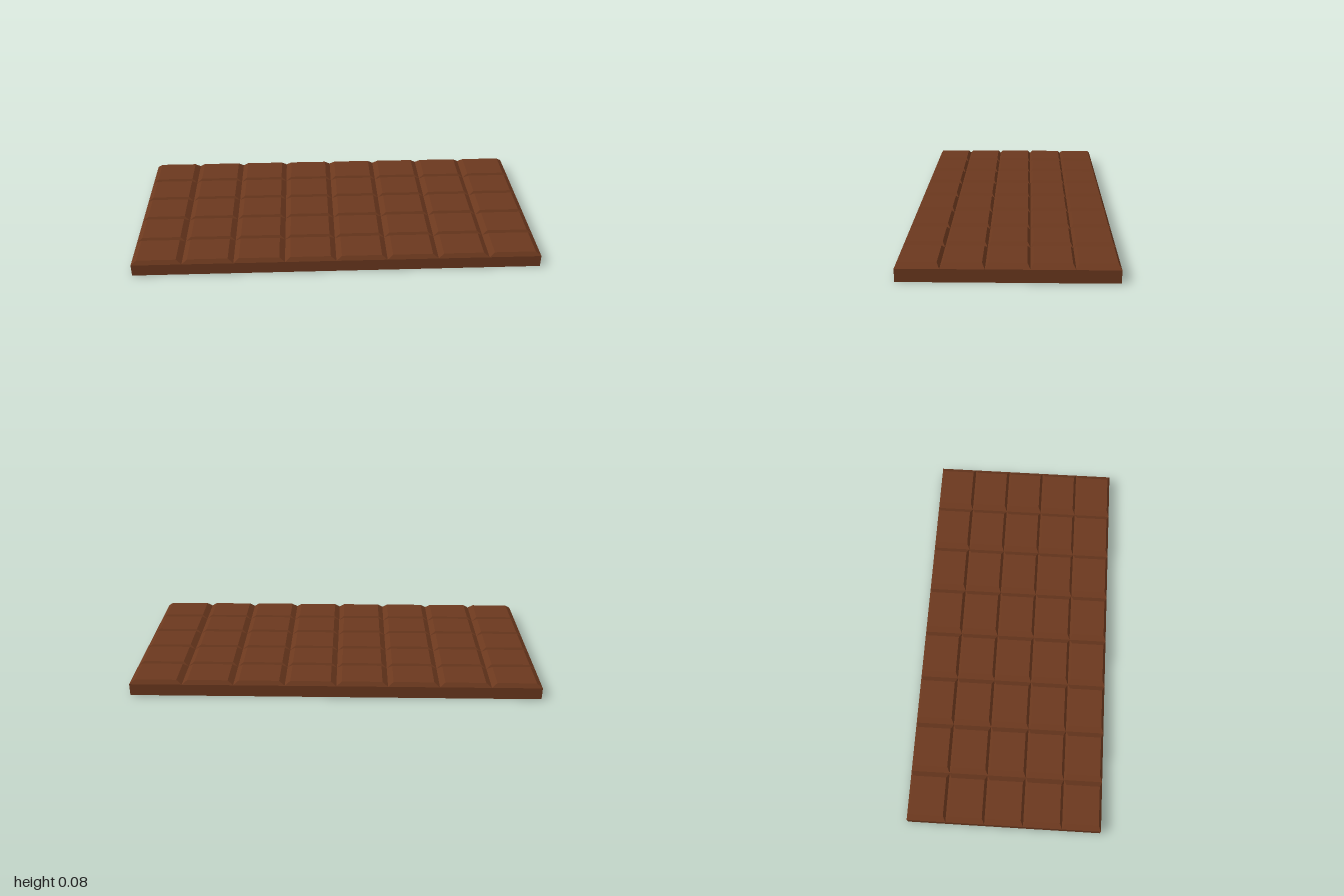
import * as THREE from 'three';

const COLS = 8, ROWS = 5;
const HALF_X = 1, HALF_Z = 0.48;
const BASE_H = 0.06, TOP_H = 0.02;
const BEVEL_X = 0.027, BEVEL_Z = 0.013;

// Box with its top face drawn in on all sides, standing on y = 0
function bevelledSquare(width, depth) {
  const geo = new THREE.BoxGeometry(width, TOP_H, depth);
  const pos = geo.attributes.position;
  for (let i = 0; i < pos.count; i++) {
    if (pos.getY(i) > 0) {
      pos.setX(i, pos.getX(i) - Math.sign(pos.getX(i)) * BEVEL_X);
      pos.setZ(i, pos.getZ(i) - Math.sign(pos.getZ(i)) * BEVEL_Z);
    }
  }
  geo.translate(0, TOP_H / 2, 0);
  geo.computeVertexNormals();
  return geo;
}

export function createModel() {
  const model = new THREE.Group();
  model.name = 'chocolateBar';
  const chocolate = new THREE.MeshStandardMaterial({ color: 0x6b381e });

  // Solid slab under the squares
  const slab = new THREE.Mesh(new THREE.BoxGeometry(HALF_X * 2, BASE_H, HALF_Z * 2), chocolate);
  slab.name = 'slab';
  slab.position.y = BASE_H / 2;
  model.add(slab);

  // Groove positions across the length, very slightly off centre
  const edgeX = (i) => (i === 0 ? -HALF_X : i === COLS ? HALF_X : -HALF_X + i * 0.25 - 0.006);
  const depth = (HALF_Z * 2) / ROWS;

  // Grid of bevelled squares; the bevels meet to form the V grooves
  const squares = new THREE.Group();
  squares.name = 'squares';
  for (let c = 0; c < COLS; c++) {
    const x0 = edgeX(c), x1 = edgeX(c + 1);
    const geo = bevelledSquare(x1 - x0, depth);
    for (let r = 0; r < ROWS; r++) {
      const square = new THREE.Mesh(geo, chocolate);
      square.name = 'square';
      square.position.set((x0 + x1) / 2, BASE_H, -HALF_Z + (r + 0.5) * depth);
      squares.add(square);
    }
  }
  model.add(squares);
  return model;
}
